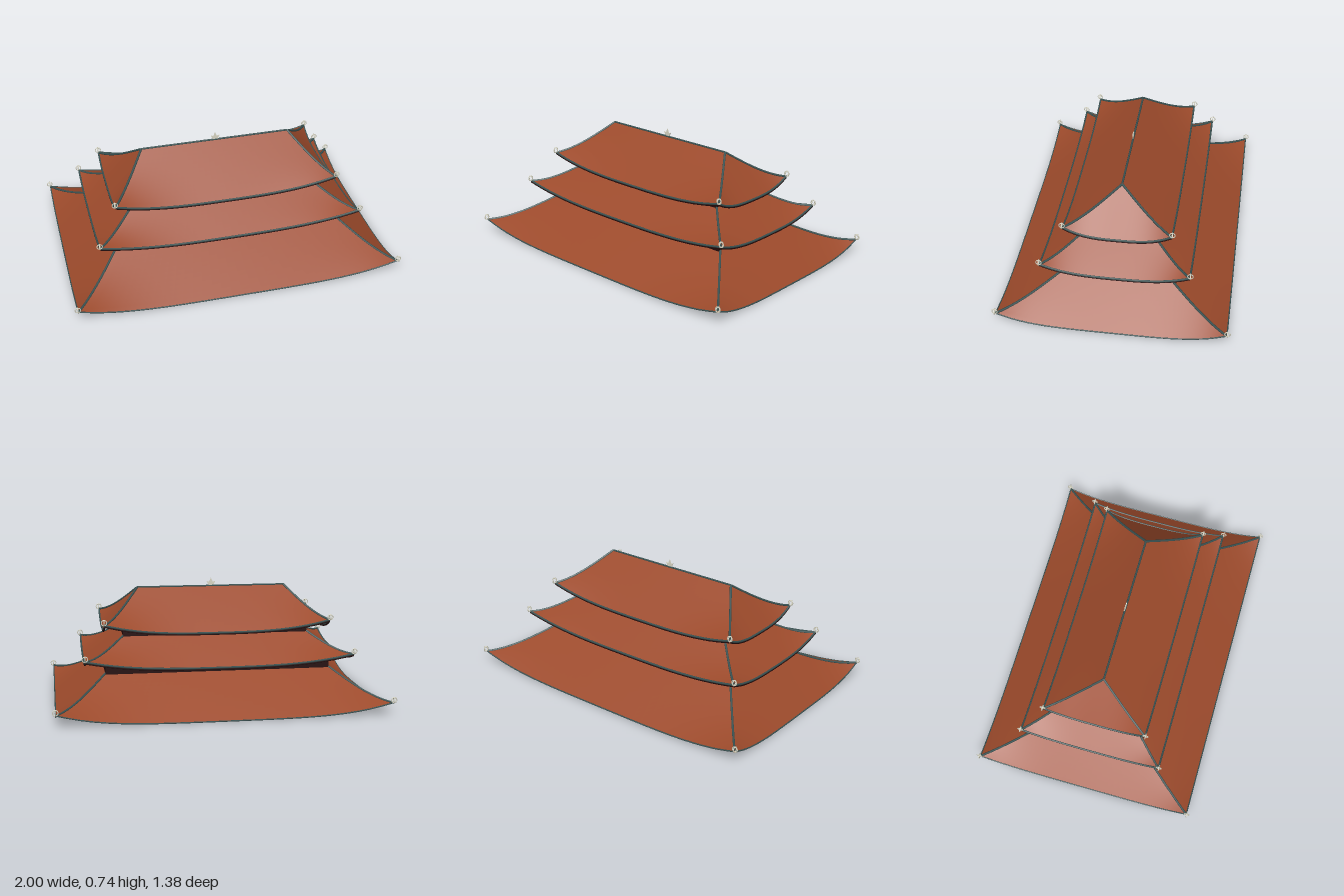
import * as THREE from 'three';

const mat = (name, color, side = THREE.FrontSide) => {
  const m = new THREE.MeshStandardMaterial({ color, side });
  m.name = name;
  return m;
};

// ix, iz: half size of the upper edge; ex, ez: half size of the eave; p: eave sweep
const TIERS = [
  { name: 'lower', ix: 0.68, iz: 0.295, top: 0.225, ex: 0.978, ez: 0.67, eave: 0.006, lift: 0.07, p: 4, trim: 0.004 },
  { name: 'middle', ix: 0.565, iz: 0.195, top: 0.43, ex: 0.8, ez: 0.435, eave: 0.268, lift: 0.057, p: 3, trim: 0.006, fascia: true },
  { name: 'upper', ix: 0.46, iz: 0, top: 0.695, ex: 0.68, ez: 0.315, eave: 0.455, lift: 0.06, p: 3, trim: 0.006, fascia: true },
];

const lerp = THREE.MathUtils.lerp;

// Point on one roof slope: u runs along the side (-1..1), v from top (0) to eave (1)
function roofPoint(t, side, u, v) {
  const x = lerp(t.ix, t.ex, v), z = lerp(t.iz, t.ez, v);
  const y = lerp(t.top, t.eave, v) + t.lift * v ** 3 * Math.abs(u) ** t.p;
  if (side === 0) return new THREE.Vector3(u * x, y, z);
  if (side === 1) return new THREE.Vector3(x, y, -u * z);
  if (side === 2) return new THREE.Vector3(-u * x, y, -z);
  return new THREE.Vector3(-x, y, u * z);
}

function slopeGeometry(t, side) {
  const nu = 32, nv = 14, pos = [], idx = [];
  for (let j = 0; j <= nv; j++)
    for (let i = 0; i <= nu; i++) pos.push(...roofPoint(t, side, (i / nu) * 2 - 1, j / nv).toArray());
  for (let j = 0; j < nv; j++)
    for (let i = 0; i < nu; i++) {
      const a = j * (nu + 1) + i, b = a + nu + 1;
      idx.push(a, b, a + 1, a + 1, b, b + 1);
    }
  const g = new THREE.BufferGeometry();
  g.setAttribute('position', new THREE.Float32BufferAttribute(pos, 3));
  g.setIndex(idx);
  g.computeVertexNormals();
  return g;
}

export function createModel() {
  const tile = mat('roofTile', 0x9c4a2b, THREE.DoubleSide);
  const trim = mat('slateTrim', 0x3a5252);
  const wood = mat('darkWood', 0x240a0a);
  const gold = mat('gold', 0xd08a20);
  const pale = mat('paleMetal', 0xd8d6c4);
  const stone = mat('railingStone', 0x8a9a9c);

  const model = new THREE.Group();
  const add = (parent, name, geo, material, x = 0, y = 0, z = 0) => {
    const m = new THREE.Mesh(geo, material);
    m.name = name;
    m.position.set(x, y, z);
    parent.add(m);
    return m;
  };
  const tube = (points, r) => new THREE.TubeGeometry(new THREE.CatmullRomCurve3(points), 28, r, 6);

  for (const t of TIERS) {
    const g = new THREE.Group();
    g.name = t.name + 'Roof';
    model.add(g);

    // Four curved slopes, each with an eave trim, a hip ridge and a dark fascia
    for (let s = 0; s < 4; s++) {
      add(g, 'roofSlope', slopeGeometry(t, s), tile);
      const eave = [], hip = [];
      for (let i = 0; i <= 16; i++) {
        eave.push(roofPoint(t, s, i / 8 - 1, 1));
        hip.push(roofPoint(t, s, 1, i / 16));
      }
      add(g, 'eaveTrim', tube(eave, t.trim), trim);
      add(g, 'hipRidge', tube(hip, 0.007), trim);
      if (t.fascia) add(g, 'eaveFascia', tube(eave, 0.005), wood, 0, -0.008, 0);
    }

    // A pair of crossed rings on each tip
    for (const sx of [-1, 1])
      for (const sz of [-1, 1])
        for (const turn of [0, Math.PI / 2]) {
          const ring = add(g, 'tipRing', new THREE.TorusGeometry(0.016, 0.003, 6, 20), pale,
            sx * (t.ex + 0.003), t.eave + t.lift + 0.016, sz * (t.ez + 0.003));
          ring.rotation.y = turn;
        }
  }

  // Hollow wall bands between the roofs
  const wall = (name, hx, hz, y, h) => {
    const rect = (P, a, b) => {
      const s = new P();
      s.moveTo(-a, -b); s.lineTo(a, -b); s.lineTo(a, b); s.lineTo(-a, b); s.closePath();
      return s;
    };
    const s = rect(THREE.Shape, hx, hz);
    s.holes.push(rect(THREE.Path, hx - 0.01, hz - 0.01));
    const geo = new THREE.ExtrudeGeometry(s, { depth: h, bevelEnabled: false });
    geo.rotateX(-Math.PI / 2);
    add(model, name, geo, wood, 0, y, 0);
  };
  wall('lowerWall', 0.68, 0.305, 0.215, 0.075);
  wall('upperWall', 0.565, 0.2, 0.42, 0.06);

  // Small gold carvings on the front walls
  const carving = (from, to, y, z, n) => {
    for (let i = 0; i < n; i++) {
      const x = lerp(from, to, i / (n - 1));
      for (const s of [-1, 1])
        add(model, 'goldCarving', new THREE.BoxGeometry(0.014, 0.007, 0.004), gold, s * x, y + (i % 3) * 0.005, z);
    }
  };
  carving(0.12, 0.66, 0.243, 0.306, 30);
  carving(0.35, 0.55, 0.442, 0.201, 12);

  // Centre plaque frame
  for (const y of [0.229, 0.24, 0.251])
    add(model, 'plaqueRail', new THREE.BoxGeometry(0.16, 0.005, 0.005), gold, 0, y, 0.307);
  for (const x of [-0.08, 0.08])
    add(model, 'plaqueSide', new THREE.BoxGeometry(0.005, 0.035, 0.005), gold, x, 0.242, 0.307);

  // Low railing sheltered by the lowest roof, open at the middle of the front
  const railing = (w, d, x, z) =>
    add(model, 'railing', new THREE.BoxGeometry(w, 0.01, d), stone, x, 0.038, z);
  railing(1.68, 0.01, 0, -0.5);
  for (const s of [-1, 1]) {
    railing(0.01, 1, s * 0.84, 0);
    railing(0.46, 0.01, s * 0.61, 0.5);
  }

  // Main ridge with a flat crest
  add(model, 'mainRidge', tube([new THREE.Vector3(-0.46, 0.695, 0), new THREE.Vector3(0.46, 0.695, 0)], 0.006), trim);
  const crest = new THREE.Shape();
  crest.moveTo(-0.015, 0);
  for (const [x, y] of [[-0.027, 0.025], [-0.011, 0.02], [0, 0.046], [0.011, 0.02], [0.027, 0.025], [0.015, 0]]) crest.lineTo(x, y);
  crest.closePath();
  add(model, 'ridgeCrest', new THREE.ExtrudeGeometry(crest, { depth: 0.005, bevelEnabled: false }), pale, 0, 0.699, -0.0025);

  return model;
}
